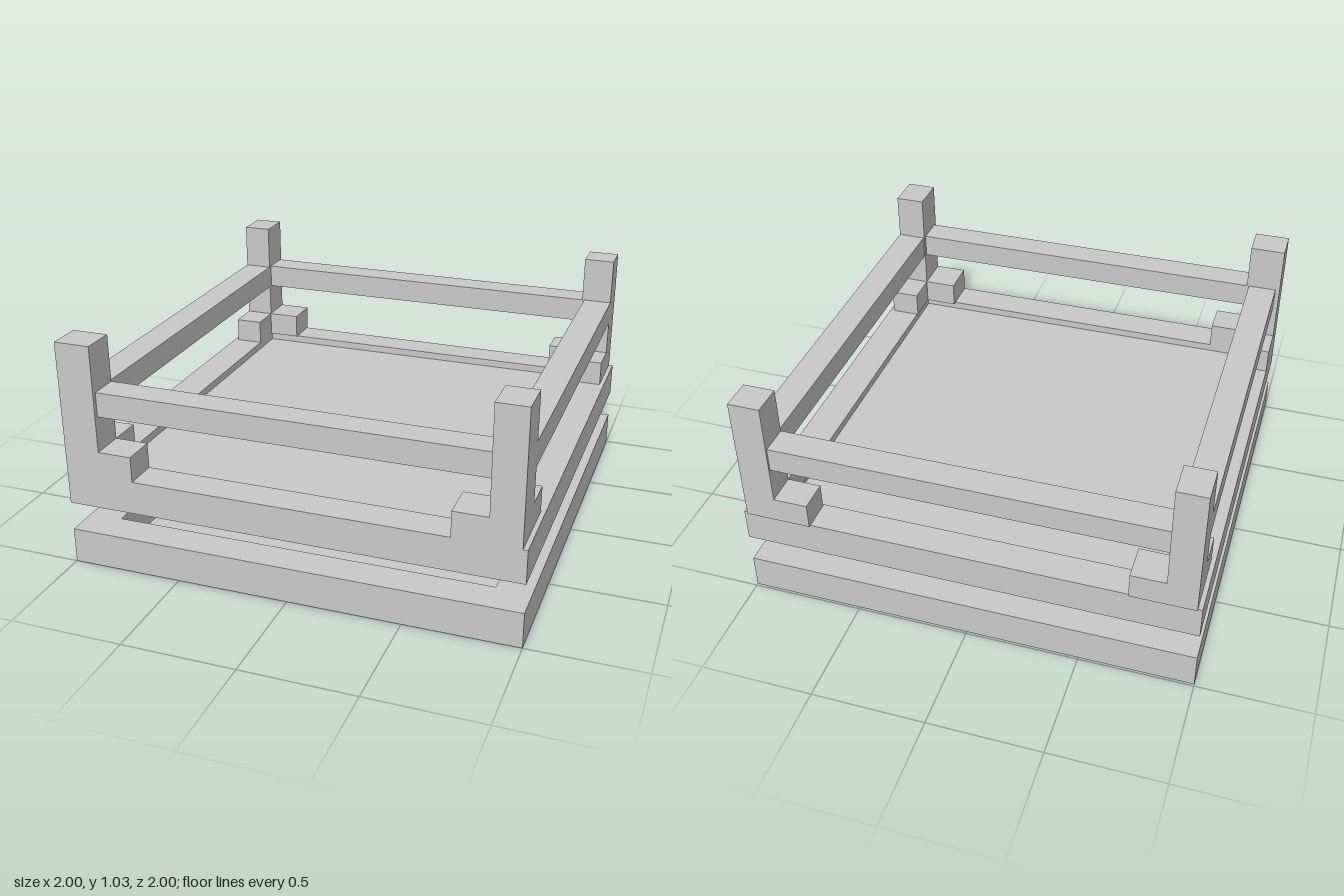
import * as THREE from 'three';

const material = new THREE.MeshStandardMaterial({ color: 0xcccccc, flatShading: true });

// Box given by its limits on each axis
function box(parent, name, [x0, x1], [y0, y1], [z0, z1]) {
  const mesh = new THREE.Mesh(new THREE.BoxGeometry(x1 - x0, y1 - y0, z1 - z0), material);
  mesh.name = name;
  mesh.position.set((x0 + x1) / 2, (y0 + y1) / 2, (z0 + z1) / 2);
  parent.add(mesh);
}

// Square frame with a square opening, lying flat
function frame(parent, name, y0, y1) {
  const shape = new THREE.Shape([
    new THREE.Vector2(-1, -1), new THREE.Vector2(1, -1),
    new THREE.Vector2(1, 0.99), new THREE.Vector2(-1, 0.99),
  ]);
  const i = 0.85;
  shape.holes.push(new THREE.Path([
    new THREE.Vector2(-i, -i), new THREE.Vector2(-i, i),
    new THREE.Vector2(i, i), new THREE.Vector2(i, -i),
  ]));
  const geometry = new THREE.ExtrudeGeometry(shape, { depth: y1 - y0, bevelEnabled: false });
  geometry.rotateX(-Math.PI / 2);
  const mesh = new THREE.Mesh(geometry, material);
  mesh.name = name;
  mesh.position.y = y0;
  parent.add(mesh);
}

export function createModel() {
  const model = new THREE.Group();
  model.name = 'railedPlatform';

  // Base tray: rim and thin floor
  frame(model, 'baseRim', 0, 0.16);
  box(model, 'baseFloor', [-0.85, 0.85], [0, 0.01], [-0.85, 0.85]);

  // Raised deck: rim with a slightly sunken panel
  frame(model, 'deckRim', 0.29, 0.44);
  box(model, 'deckPanel', [-0.85, 0.85], [0.29, 0.405], [-0.85, 0.85]);

  // Corner posts, each with two stepped feet along the rim
  const corners = [
    { name: 'frontLeft', x: [0.845, 0.98], z: [0.83, 1] },
    { name: 'frontRight', x: [-1, -0.84], z: [0.85, 1] },
    { name: 'backLeft', x: [0.84, 0.98], z: [-1, -0.86] },
    { name: 'backRight', x: [-0.98, -0.85], z: [-1, -0.84] },
  ];
  const foot = ([a, b]) => (a > 0 ? [a - 0.15, a] : [b, b + 0.15]);
  for (const { name, x, z } of corners) {
    const corner = new THREE.Group();
    corner.name = name + 'Corner';
    box(corner, 'post', x, [0.44, 1.03], z);
    box(corner, 'footAlongX', foot(x), [0.44, 0.555], z);
    box(corner, 'footAlongZ', x, [0.44, 0.555], foot(z));
    model.add(corner);
  }

  // Handrails between the posts
  const railY = [0.71, 0.82];
  box(model, 'frontRail', [-0.84, 0.845], railY, [0.85, 0.98]);
  box(model, 'backRail', [-0.85, 0.84], railY, [-0.99, -0.86]);
  box(model, 'leftRail', [0.85, 0.98], railY, [-0.86, 0.83]);
  box(model, 'rightRail', [-0.98, -0.85], railY, [-0.84, 0.85]);

  return model;
}
